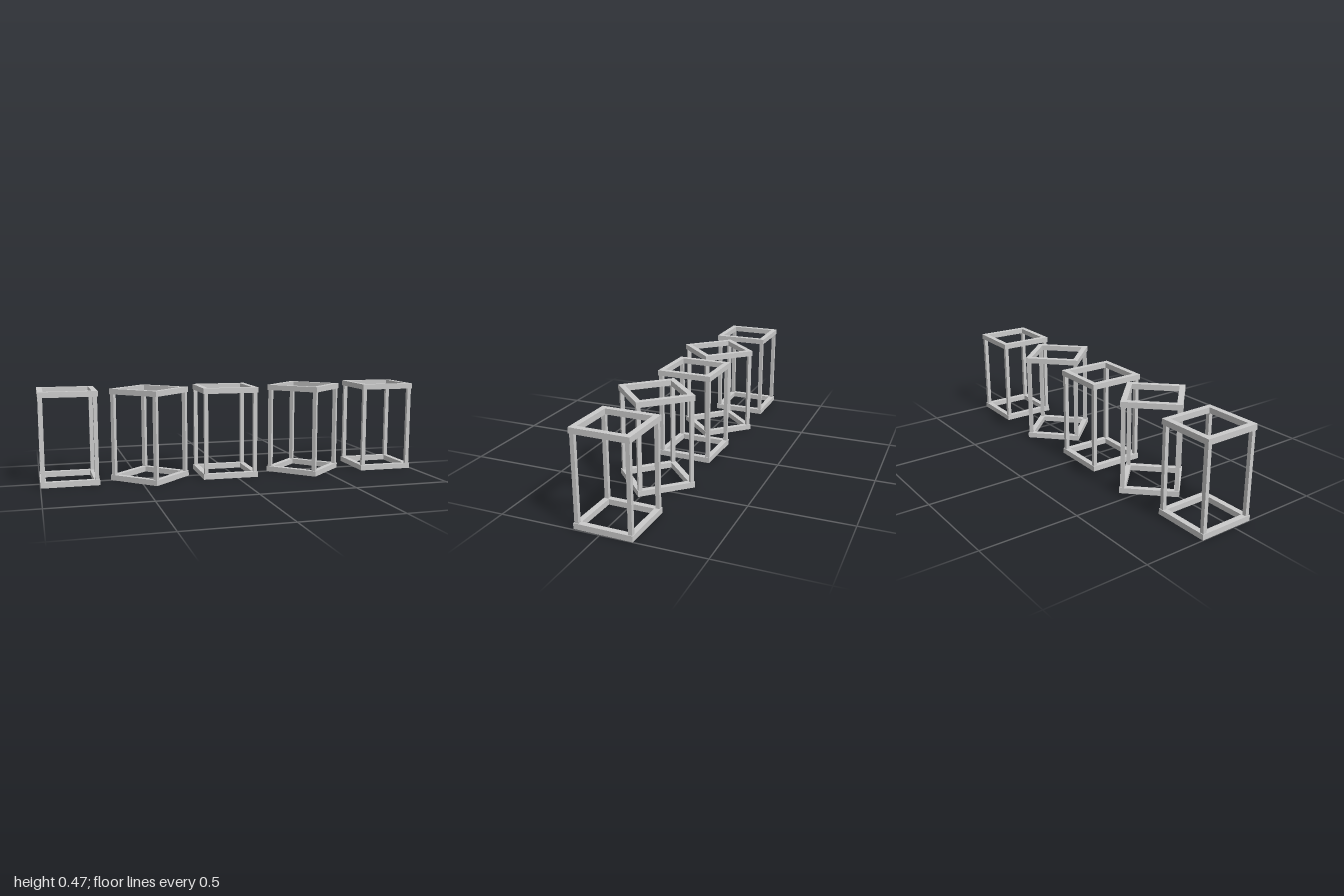
import * as THREE from 'three';

const SIDE = 0.29, BAR = 0.028, POST = 0.02, HEIGHT = 0.473;
const material = new THREE.MeshStandardMaterial({ color: 0xcccccc, flatShading: true });

// Square outline centred on the origin
function square(path, half) {
  path.moveTo(-half, -half);
  path.lineTo(half, -half);
  path.lineTo(half, half);
  path.lineTo(-half, half);
  path.closePath();
  return path;
}

// Flat square ring lying on y = 0
function ringGeometry() {
  const shape = square(new THREE.Shape(), SIDE / 2);
  shape.holes.push(square(new THREE.Path(), SIDE / 2 - BAR));
  const geometry = new THREE.ExtrudeGeometry(shape, { depth: BAR, bevelEnabled: false });
  return geometry.rotateX(-Math.PI / 2);
}

const ring = ringGeometry();
const post = new THREE.BoxGeometry(POST, HEIGHT - 2 * BAR, POST);

function add(parent, geometry, name, x, y, z) {
  const mesh = new THREE.Mesh(geometry, material);
  mesh.name = name;
  mesh.position.set(x, y, z);
  parent.add(mesh);
}

// Open frame: two square rings joined by four corner posts
function createFrame() {
  const frame = new THREE.Group();
  add(frame, ring, 'bottomRing', 0, 0, 0);
  add(frame, ring, 'topRing', 0, HEIGHT - BAR, 0);
  const inset = (SIDE - BAR) / 2;
  for (const sx of [-1, 1]) {
    for (const sz of [-1, 1]) {
      add(frame, post, 'cornerPost', sx * inset, HEIGHT / 2, sz * inset);
    }
  }
  return frame;
}

export function createModel() {
  const model = new THREE.Group();
  model.name = 'frameRow';
  // x, z and turn of each frame in the row
  const placements = [
    [-0.855, -0.043, 0],
    [-0.44, -0.003, Math.PI / 4],
    [-0.033, -0.019, -0.02],
    [0.406, 0.003, Math.PI / 4 - 0.025],
    [0.852, -0.016, -0.02],
  ];
  placements.forEach(([x, z, turn], i) => {
    const frame = createFrame();
    frame.name = `frame${i + 1}`;
    frame.position.set(x, 0, z);
    frame.rotation.y = turn;
    model.add(frame);
  });
  return model;
}
